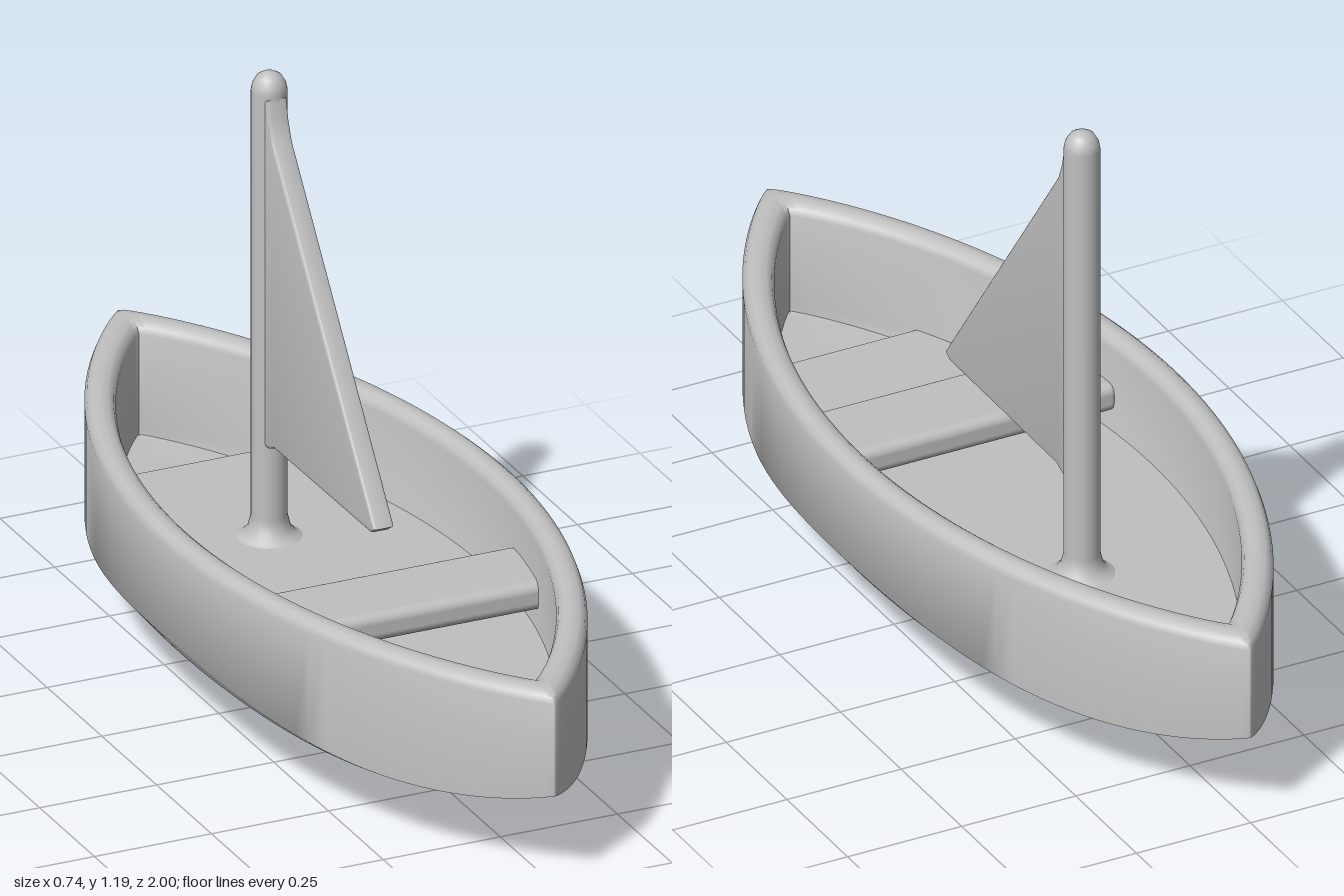
import * as THREE from 'three';
import { toCreasedNormals } from 'three/addons/utils/BufferGeometryUtils.js';
import { RoundedBoxGeometry } from 'three/addons/geometries/RoundedBoxGeometry.js';

// Circular-arc plan outline, 1 amidships and 0 at both ends
const R = 1.536;
const lens = t => (Math.sqrt(R * R - t * t) - (R - 0.37)) / (0.37 - (R - Math.sqrt(R * R - 0)));
const fullness = t => Math.sqrt(Math.max(0, 1 - t ** 8));
const outerWidth = t => 0.355 * Math.max(0, lens(t)) + 0.017 * fullness(t);
const innerWidth = t => 0.305 * Math.max(0, lens(t)) + 0.01 * fullness(t);
const INNER = 0.9; // inner length relative to the outer length

// Right half of one hull section, from keel over the rim to the inner floor
function halfSection(t) {
  const w = outerWidth(t), v = innerWidth(t), pts = [];
  const bottom = x => 0.455 - Math.sqrt(0.455 ** 2 - x * x) + 0.19 * t * t;
  for (let j = 0; j <= 10; j++) pts.push([w * j / 10, bottom(w * j / 10), t]);
  const rim = [[0, 0.385], [0.08, 0.398], [0.25, 0.406], [0.5, 0.408], [0.75, 0.406], [0.92, 0.398], [1, 0.385], [1, 0.19]];
  for (const [k, y] of rim) pts.push([w + (v - w) * k, y, t * (1 + (INNER - 1) * k)]);
  pts.push([v * 0.96, 0.172, t * INNER], [0, 0.17, t * INNER]);
  return pts;
}

function hullGeometry() {
  const N = 72, pos = [], index = [];
  let M = 0;
  for (let i = 0; i <= N; i++) {
    const half = halfSection(-Math.cos(Math.PI * i / N));
    const mirrored = half.slice(1, -1).reverse().map(([x, y, z]) => [-x, y, z]);
    const ring = [...half, ...mirrored];
    M = ring.length;
    pos.push(...ring.flat());
  }
  for (let i = 0; i < N; i++) for (let j = 0; j < M; j++) {
    const a = i * M + j, b = i * M + (j + 1) % M;
    index.push(a, b, a + M, b, b + M, a + M);
  }
  const g = new THREE.BufferGeometry();
  g.setAttribute('position', new THREE.Float32BufferAttribute(pos, 3));
  g.setIndex(index);
  return toCreasedNormals(g, 0.9);
}

// Raised floor, cut straight at both ends and tucked into the side walls
function floorGeometry() {
  const shape = new THREE.Shape(), end = 0.67, n = 24, right = [];
  for (let i = 0; i <= n; i++) {
    const z = -end + 2 * end * i / n;
    right.push(new THREE.Vector2(innerWidth(z / INNER) + 0.015, z));
  }
  const left = right.map(p => new THREE.Vector2(-p.x, p.y)).reverse();
  shape.setFromPoints([...right, ...left]);
  const g = new THREE.ExtrudeGeometry(shape, { depth: 0.04, bevelEnabled: false });
  return g.rotateX(-Math.PI / 2).translate(0, 0.165, 0);
}

// Mast with a small foot fillet and a domed top
function mastGeometry() {
  const r = 0.036;
  const profile = [[0.075, 0.2], [0.055, 0.21], [0.042, 0.225], [r, 0.25], [r, 1.152],
    [0.033, 1.168], [0.024, 1.183], [0.012, 1.19], [0, 1.192]];
  return new THREE.LatheGeometry(profile.map(p => new THREE.Vector2(...p)), 24);
}

// Triangular sail with a softened edge, drawn in z and y
function sailGeometry() {
  const bevel = 0.006, thick = 0.044;
  const shape = new THREE.Shape();
  shape.moveTo(-0.305, 0.41);
  shape.lineTo(-0.265, 0.415);
  shape.lineTo(-0.24, 0.426);
  shape.lineTo(0.2, 0.43);
  shape.lineTo(0.212, 0.438);
  shape.lineTo(-0.25, 1.06);
  shape.lineTo(-0.266, 1.1);
  shape.lineTo(-0.275, 1.14);
  shape.lineTo(-0.305, 1.14);
  const g = new THREE.ExtrudeGeometry(shape, {
    depth: thick - 2 * bevel, bevelThickness: bevel, bevelSize: bevel, bevelSegments: 3,
  });
  g.translate(0, 0, -thick / 2 + bevel).rotateY(-Math.PI / 2);
  return toCreasedNormals(g, 0.6);
}

export function createModel() {
  const boat = new THREE.Group();
  boat.name = 'sailboat';
  const grey = new THREE.MeshStandardMaterial({ color: 0xc0c0c0 });
  grey.name = 'light grey';
  const add = (name, geometry) => {
    const mesh = new THREE.Mesh(geometry, grey);
    mesh.name = name;
    boat.add(mesh);
    return mesh;
  };
  add('hull', hullGeometry());
  add('floor', floorGeometry());
  add('bench', new RoundedBoxGeometry(0.64, 0.06, 0.19, 4, 0.02)).position.set(0, 0.28, 0.235);
  add('mast', mastGeometry()).position.z = -0.305;
  add('sail', sailGeometry());
  return boat;
}
